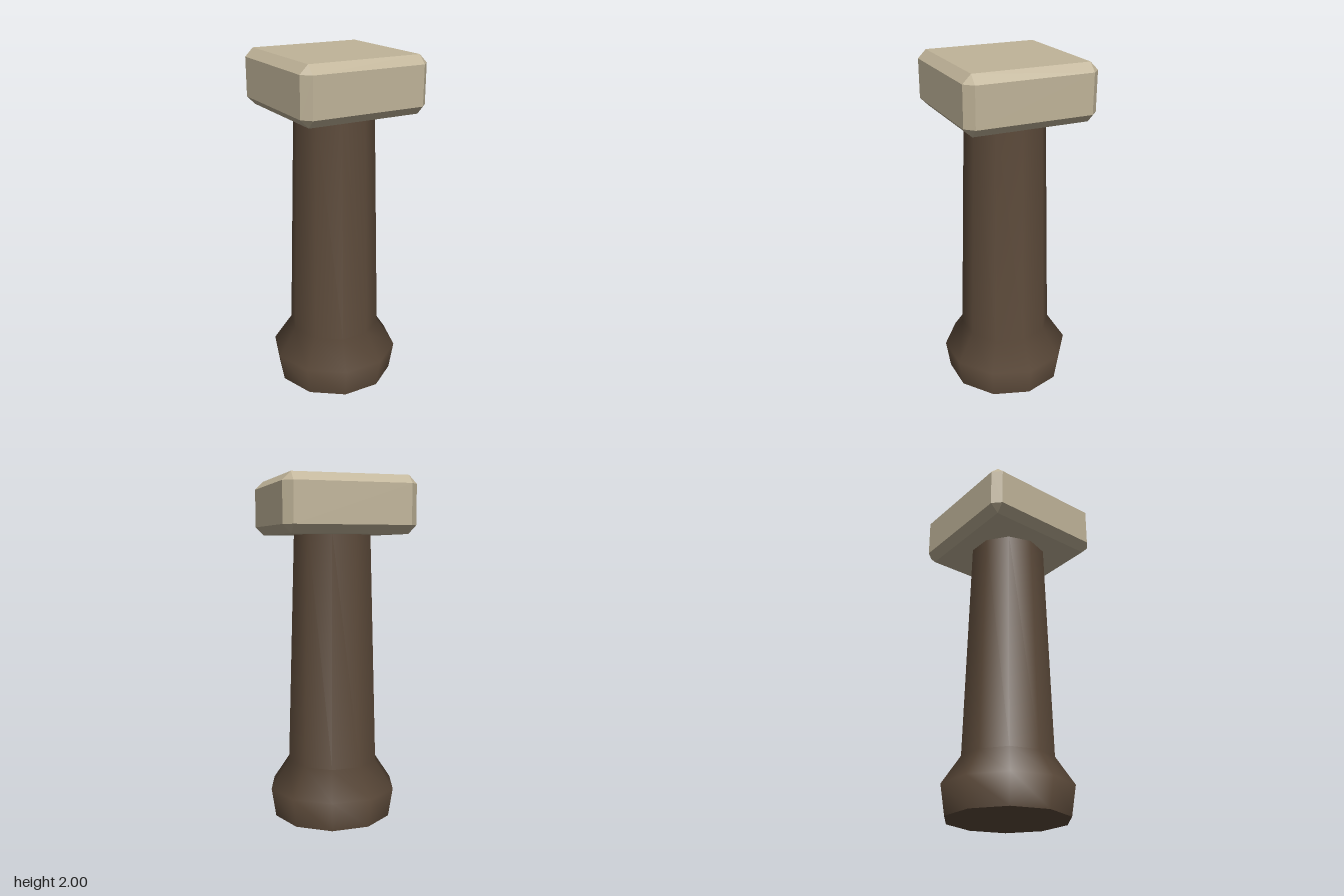
import * as THREE from 'three';
import { ConvexGeometry } from 'three/addons/geometries/ConvexGeometry.js';

const SIDES = 10;

// Box whose edges are bevelled flat, with a small triangle at each corner
function chamferedBox(hx, hy, hz, c) {
  const points = [];
  for (const sx of [-1, 1]) for (const sy of [-1, 1]) for (const sz of [-1, 1]) {
    points.push(
      new THREE.Vector3(sx * hx, sy * (hy - c), sz * (hz - c)),
      new THREE.Vector3(sx * (hx - c), sy * hy, sz * (hz - c)),
      new THREE.Vector3(sx * (hx - c), sy * (hy - c), sz * hz)
    );
  }
  return new ConvexGeometry(points);
}

export function createModel() {
  const model = new THREE.Group();
  model.name = 'pillar';

  const wood = new THREE.MeshStandardMaterial({ color: 0x5c4a3a });
  wood.name = 'dark brown';
  const stone = new THREE.MeshStandardMaterial({ color: 0xc0b499 });
  stone.name = 'pale stone';

  function add(name, geometry, material, y = 0) {
    const mesh = new THREE.Mesh(geometry, material);
    mesh.name = name;
    mesh.position.y = y;
    model.add(mesh);
    return mesh;
  }

  // Tapered shaft with a flared foot, smooth along its whole profile
  const profile = [[0.355, 0], [0.382, 0.17], [0.272, 0.335], [0.232, 1.69]]
    .map(([r, y]) => new THREE.Vector2(r, y));
  add('shaft', new THREE.LatheGeometry(profile, SIDES, Math.PI / 2), wood);

  // Flat underside of the foot
  add('footUnderside', new THREE.CircleGeometry(0.355, SIDES).rotateX(Math.PI / 2), wood);

  // Bevelled square block on top
  add('capital', chamferedBox(0.384, 0.161, 0.384, 0.048), stone, 1.839);

  return model;
}
